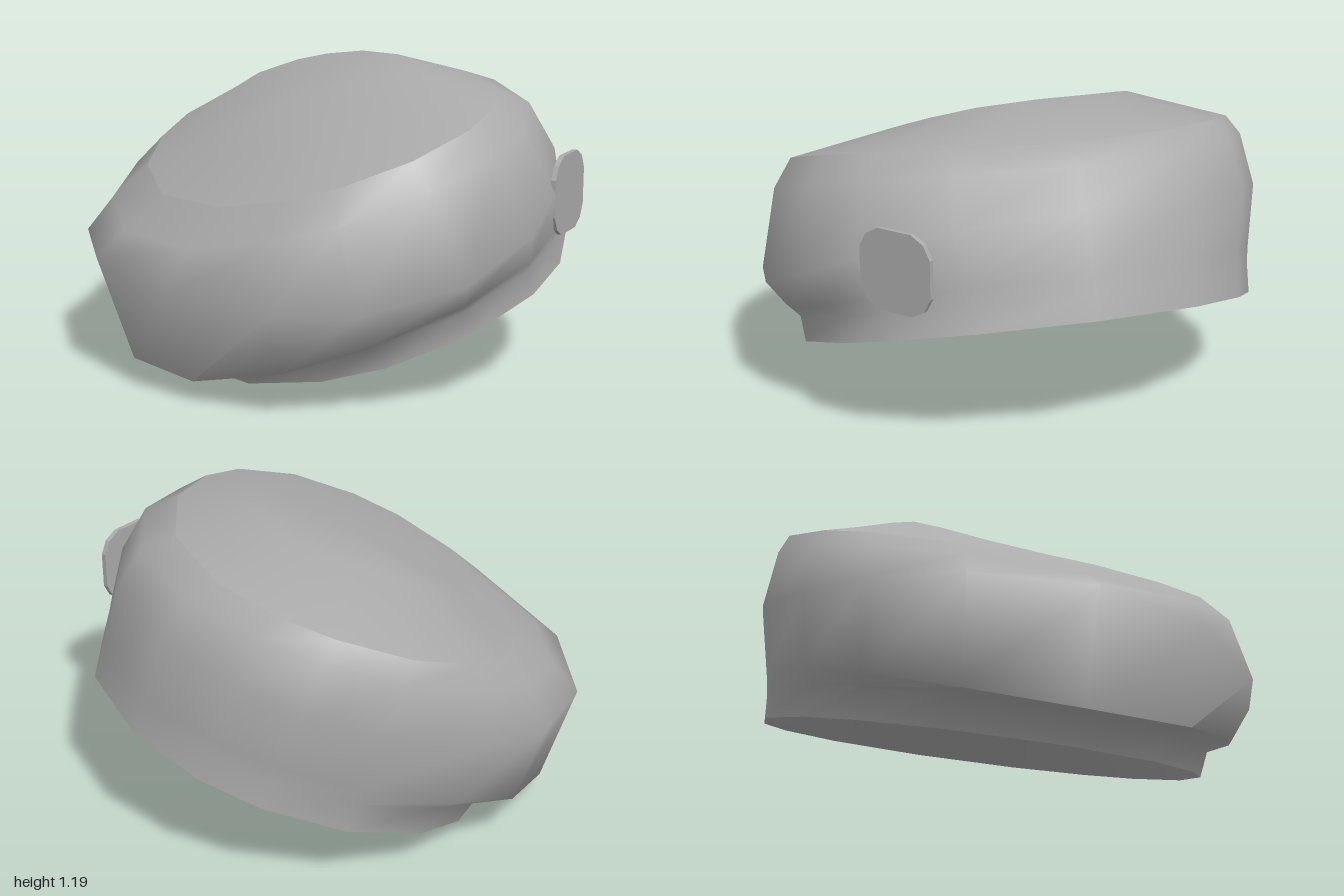
import * as THREE from 'three';
import { toCreasedNormals } from 'three/addons/utils/BufferGeometryUtils.js';

// Column angles around the cap, mirrored from one uneven quarter
const QUARTER = [0, 28, 50, 67];
const ANGLES = [
  ...QUARTER, 90, ...QUARTER.slice(1).reverse().map(a => 180 - a),
  ...QUARTER.map(a => a + 180), 270, ...QUARTER.slice(1).reverse().map(a => 360 - a),
].map(THREE.MathUtils.degToRad);

// Cross-sections: reach and height towards [left, front, right, back];
// bulge fills out the diagonals on the drooping right side
const RIM = { reach: [0.83, 0.90, 0.825, 0.90], height: [0, 0, 0, 0], bulge: 0 };
const CROWN_EDGE = { reach: [0.69, 0.885, 0.69, 0.905], height: [0.645, 0.71, 0.692, 0.72], bulge: 0 };
const SIDE_RINGS = [
  RIM,
  { reach: [0.835, 0.91, 0.868, 0.905], height: [0.10, 0.10, 0.12, 0.12], bulge: 0 },       // top of band
  { reach: [0.838, 0.95, 1.026, 0.915], height: [0.17, 0.14, 0.122, 0.18], bulge: 0.045 },  // lower fold
  { reach: [0.846, 1.03, 1.02, 0.97], height: [0.395, 0.245, 0.565, 0.43], bulge: 0.045 },  // widest part
  { reach: [0.806, 0.96, 0.88, 0.94], height: [0.557, 0.60, 0.62, 0.645], bulge: 0.02 },    // shoulder
  CROWN_EDGE,
];
const CROWN_RINGS = [
  CROWN_EDGE,
  { reach: [0.424, 0.50, 0.437, 0.50], height: [0.828, 0.785, 0.755, 0.85], bulge: 0 },
];
const LINING_RINGS = [
  RIM,
  { reach: [0.55, 0.60, 0.55, 0.60], height: [0.14, 0.14, 0.14, 0.14], bulge: 0 },
];

function ringPoint({ reach, height, bulge }, angle) {
  const c = Math.cos(angle), s = Math.sin(angle);
  const ix = c >= 0 ? 0 : 2, iz = s >= 0 ? 1 : 3;
  const fill = c < 0 ? 1 + bulge * Math.sin(2 * angle) ** 2 : 1;
  return [reach[ix] * c * fill, height[ix] * c * c + height[iz] * s * s, reach[iz] * s * fill];
}

// Skin over the rings, closed at the middle when a centre height is given
function loft(rings, centreHeight) {
  const positions = [], index = [], n = ANGLES.length;
  for (const ring of rings) {
    for (const angle of ANGLES) positions.push(...ringPoint(ring, angle));
  }
  for (let r = 0; r < rings.length - 1; r++) {
    for (let j = 0; j < n; j++) {
      const a = r * n + j, b = r * n + (j + 1) % n;
      index.push(a, a + n, b, b, a + n, b + n);
    }
  }
  if (centreHeight !== undefined) {
    const start = (rings.length - 1) * n;
    positions.push(0, centreHeight, 0);
    for (let j = 0; j < n; j++) index.push(start + j, start + n, start + (j + 1) % n);
  }
  const geometry = new THREE.BufferGeometry();
  geometry.setAttribute('position', new THREE.Float32BufferAttribute(positions, 3));
  geometry.setIndex(index);
  return toCreasedNormals(geometry, 1.35);
}

// Disc outline: a rounded octagon, one quadrant turned four times
function badgeGeometry() {
  const corner = [[0.154, 0.072], [0.125, 0.125], [0.072, 0.154]];
  const points = [];
  for (let k = 0; k < 4; k++) {
    for (const [x, y] of corner) {
      points.push(new THREE.Vector2(x, y).rotateAround(new THREE.Vector2(), k * Math.PI / 2));
    }
  }
  return new THREE.ExtrudeGeometry(new THREE.Shape(points), { depth: 0.02, bevelEnabled: false });
}

export function createModel() {
  const model = new THREE.Group();
  model.name = 'beret';
  const felt = new THREE.MeshStandardMaterial({ color: 0xaaaaaa, side: THREE.DoubleSide });

  // Soft cap, tilted down to its right
  const cap = new THREE.Group();
  cap.name = 'cap';
  cap.position.set(0.18, 0.27, -0.03);
  cap.rotation.z = Math.atan(0.346);
  model.add(cap);

  const parts = {
    side: loft(SIDE_RINGS),
    crown: loft(CROWN_RINGS, 0.825),
    lining: loft(LINING_RINGS, 0.19),
  };
  for (const [name, geometry] of Object.entries(parts)) {
    const mesh = new THREE.Mesh(geometry, felt);
    mesh.name = name;
    cap.add(mesh);
  }

  // Plain upright disc on the front left of the cap
  const badge = new THREE.Mesh(badgeGeometry(), felt);
  badge.name = 'badge';
  badge.position.set(0.71, 0.72, 0.635);
  badge.rotation.y = Math.atan2(0.62, 0.78);
  model.add(badge);

  return model;
}
